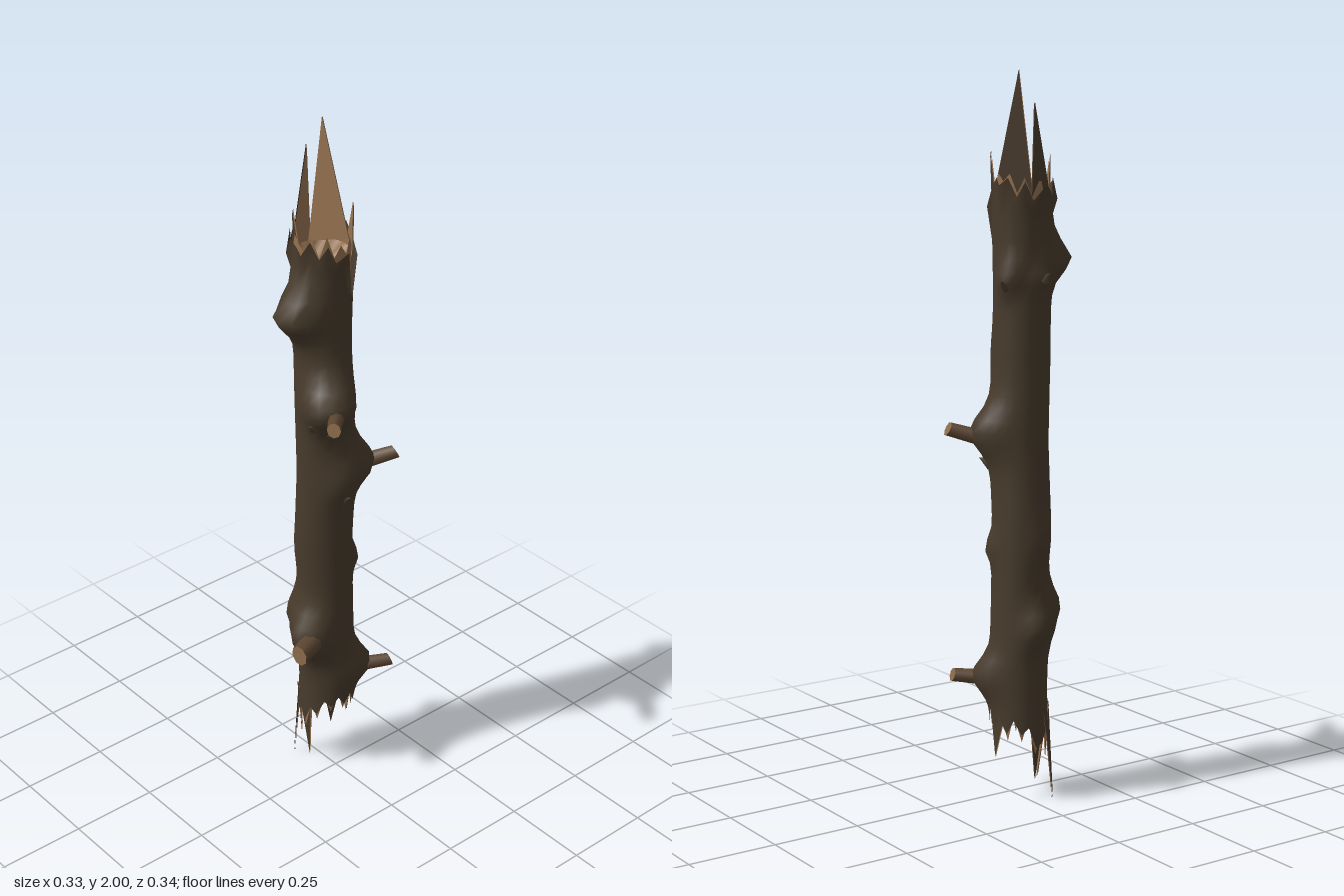
import * as THREE from 'three';

const SEG = 24;
const { lerp, degToRad } = THREE.MathUtils;

// centre line of the trunk: y, x, z, radius
const SPINE = [
  [0, -0.055, 0, 0.08], [0.3, -0.045, -0.005, 0.081], [0.6, -0.045, 0, 0.078],
  [0.8, -0.045, 0.006, 0.081], [1.0, -0.034, 0.005, 0.081], [1.2, -0.035, 0.01, 0.08],
  [1.4, -0.042, 0.01, 0.078], [1.7, -0.05, 0.004, 0.083], [2.01, -0.05, 0, 0.077],
];
// swellings: angle (0 = +x, 90 = +z), y, height, angular spread, vertical spread
const BURLS = [
  [92, 1.5, 0.07, 0.7, 0.06], [28, 1.25, 0.074, 0.75, 0.065], [-62, 1.03, 0.056, 0.8, 0.065],
  [72, 0.49, 0.062, 0.65, 0.075], [-54, 0.35, 0.05, 0.7, 0.055], [178, 0.5, 0.038, 0.45, 0.05],
  [172, 1.46, 0.025, 0.3, 0.03], [-115, 1.45, 0.025, 0.4, 0.035], [-65, 0.71, 0.02, 0.35, 0.035],
  [10, 1.0, 0.018, 0.5, 0.06], [125, 0.55, 0.03, 0.4, 0.06], [165, 0.74, 0.012, 0.5, 0.05],
];
// torn edges, one height per column round the trunk
const BARK_TOP = [1.69, 1.66, 1.71, 1.67, 1.72, 1.68, 1.69, 1.71, 1.66, 1.72, 1.67, 1.69,
  1.70, 1.66, 1.71, 1.67, 1.72, 1.70, 1.72, 1.68, 1.64, 1.55, 1.53, 1.57];
const WOOD_TOP = [1.70, 1.67, 1.73, 1.67, 1.73, 1.68, 1.70, 1.72, 1.67, 1.73, 1.67, 1.71,
  1.71, 1.67, 1.72, 1.68, 1.73, 1.71, 1.73, 1.69, 1.74, 1.68, 1.71, 1.67];
const BARK_END = [0.24, 0.27, 0.24, 0.26, 0.21, 0.23, 0.17, 0.22, 0.18, 0.15, 0.2, 0.17,
  0.16, 0.22, 0.2, 0.24, 0.2, 0.24, 0.21, 0.26, 0.22, 0.26, 0.23, 0.27];
const WOOD_END = BARK_END.map((y, k) => y + (k % 2 ? 0.015 : -0.02));

// long splinters: tip, then two base corners on the rim
const SHARDS = [
  [[-0.106, 2.0, -0.045], [-0.116, 1.66, -0.005], [-0.008, 1.69, -0.052]],
  [[-0.137, 1.92, -0.02], [-0.12, 1.66, 0.045], [-0.118, 1.66, -0.015]],
  [[-0.1, 1.78, 0.058], [-0.112, 1.64, 0.045], [-0.05, 1.66, 0.075]],
  [[-0.015, 1.79, -0.072], [-0.045, 1.66, -0.074], [0.002, 1.64, -0.055]],
  [[-0.12, 0.0, 0.058], [-0.122, 0.27, 0.025], [-0.085, 0.25, 0.068]],
  [[-0.05, 0.04, 0.055], [-0.085, 0.27, 0.068], [-0.025, 0.27, 0.07]],
  [[-0.1, 0.06, 0.012], [-0.12, 0.27, 0.03], [-0.12, 0.27, -0.02]],
  [[-0.085, 0.1, 0.055], [-0.11, 0.27, 0.05], [-0.065, 0.27, 0.072]],
  [[0.0, 0.17, 0.02], [0.005, 0.3, 0.05], [0.028, 0.3, 0.01]],
  [[-0.05, 0.13, -0.082], [-0.085, 0.28, -0.068], [-0.02, 0.28, -0.078]],
];

function trunkPoint(angle, y, offset) {
  let i = 0;
  while (i < SPINE.length - 2 && SPINE[i + 1][0] < y) i++;
  const a = SPINE[i], b = SPINE[i + 1];
  const t = (y - a[0]) / (b[0] - a[0]);
  let r = lerp(a[3], b[3], t) + offset;
  for (const [deg, by, height, wide, tall] of BURLS) {
    const d = angle - degToRad(deg);
    const turn = Math.atan2(Math.sin(d), Math.cos(d)) / wide;
    r += height * Math.exp(-turn * turn - ((y - by) / tall) ** 2);
  }
  return [lerp(a[1], b[1], t) + r * Math.cos(angle), y, lerp(a[2], b[2], t) + r * Math.sin(angle)];
}

function indexed(positions, index) {
  const geometry = new THREE.BufferGeometry();
  geometry.setAttribute('position', new THREE.Float32BufferAttribute(positions, 3));
  geometry.setIndex(index);
  geometry.computeVertexNormals();
  return geometry;
}

// open tube whose two ends are torn into teeth
function tornTube(bottom, top, offset, flare) {
  const LOW = 0.3, HIGH = 1.5, BODY = 36, END = 4;
  const rows = BODY + 2 * END;
  const positions = [], index = [];
  for (let j = 0; j <= rows; j++) {
    for (let k = 0; k < SEG; k++) {
      let y, out = offset;
      if (j < END) y = lerp(bottom[k], LOW, j / END);
      else if (j <= END + BODY) y = lerp(LOW, HIGH, (j - END) / BODY);
      else y = lerp(HIGH, top[k], (j - END - BODY) / END);
      if (j === rows) out += flare * (k % 12 === 0 ? 2.2 : (k * 7) % 3 / 2);
      positions.push(...trunkPoint((k / SEG) * Math.PI * 2, y, out));
      if (j < rows) {
        const n = (k + 1) % SEG, a = j * SEG + k, b = j * SEG + n;
        index.push(a, a + SEG, b, b, a + SEG, b + SEG);
      }
    }
  }
  return indexed(positions, index);
}

// broken heartwood filling one end, sloping to an off-centre hollow
function plug(rim, depth) {
  const positions = [], index = [];
  for (let k = 0; k < SEG; k++) {
    const angle = (k / SEG) * Math.PI * 2, n = (k + 1) % SEG;
    positions.push(...trunkPoint(angle, rim, -0.008));
    positions.push(-0.076 + 0.02 * Math.cos(angle), rim + depth * (1 + 0.3 * (k % 3)),
      0.032 + 0.02 * Math.sin(angle));
    index.push(2 * k, 2 * k + 1, 2 * n, 2 * n, 2 * k + 1, 2 * n + 1);
  }
  return indexed(positions, index);
}

// aim a y-axis geometry from one point to another
function span(geometry, material, from, to, name) {
  const a = new THREE.Vector3(...from), b = new THREE.Vector3(...to);
  const mesh = new THREE.Mesh(geometry, material);
  mesh.position.copy(a).lerp(b, 0.5);
  mesh.quaternion.setFromUnitVectors(new THREE.Vector3(0, 1, 0), b.clone().sub(a).normalize());
  mesh.name = name;
  return mesh;
}

export function createModel() {
  const group = new THREE.Group();
  group.name = 'brokenLog';
  const paint = (name, color) => {
    const material = new THREE.MeshStandardMaterial({ color, side: THREE.DoubleSide });
    material.name = name;
    return material;
  };
  const bark = paint('bark', 0x483b2c);
  const wood = paint('bareWood', 0x94714f);
  const weathered = paint('weatheredWood', 0x5c4632);
  const add = (geometry, material, name) => {
    const mesh = new THREE.Mesh(geometry, material);
    mesh.name = name;
    group.add(mesh);
    return mesh;
  };

  // trunk: bark over wood, with filled ends
  add(tornTube(BARK_END, BARK_TOP, 0, 0.012), bark, 'barkShell');
  add(tornTube(WOOD_END, WOOD_TOP, -0.006, 0), wood, 'woodCore');
  add(plug(1.66, -0.06), wood, 'topHeartwood');
  add(plug(0.27, 0.04), wood, 'bottomHeartwood');

  // splinters: wood inside, bark just outside
  for (const corners of SHARDS) {
    add(indexed(corners.flat(), [0, 1, 2]), wood, 'splinter');
    const middleX = (corners[1][0] + corners[2][0]) / 2 + 0.05;
    const middleZ = (corners[1][2] + corners[2][2]) / 2;
    const outward = new THREE.Vector3(middleX, 0, middleZ).setLength(0.003);
    add(indexed(corners.flat(), [0, 1, 2]), bark, 'splinterBark').position.copy(outward);
  }

  // snapped branch stubs with bare ends
  const stubs = [
    [[0.07, 1.235, 0.055], [0.15, 1.255, 0.133], 0.019],
    [[0.01, 1.015, -0.09], [0.06, 1.04, -0.164], 0.02],
    [[0.005, 0.49, 0.09], [0.035, 0.488, 0.163], 0.028],
    [[0.02, 0.34, -0.08], [0.064, 0.348, -0.15], 0.019],
  ];
  for (const [from, to, r] of stubs) {
    const length = new THREE.Vector3(...from).distanceTo(new THREE.Vector3(...to));
    const geometry = new THREE.CylinderGeometry(r, r * 1.15, length, 8);
    const p = geometry.attributes.position;
    // slanted break
    for (let i = 0; i < p.count; i++) {
      if (p.getY(i) > 0) p.setY(i, p.getY(i) + p.getX(i) * 0.35);
    }
    group.add(span(geometry, [weathered, wood, weathered], from, to, 'branchStub'));
  }

  // loose flakes of bark standing off the trunk
  const flakes = [[28, 1.19, 0.03], [60, 1.2, 0.02], [0, 0.96, 0.02],
    [-115, 1.45, 0.015], [172, 1.47, 0.015], [-60, 0.96, 0.02]];
  for (const [deg, y, reach] of flakes) {
    const angle = degToRad(deg);
    const from = trunkPoint(angle, y - 0.02, -0.012), to = trunkPoint(angle, y, reach * 0.6);
    const length = new THREE.Vector3(...from).distanceTo(new THREE.Vector3(...to));
    group.add(span(new THREE.ConeGeometry(0.018, length, 5), bark, from, to, 'barkFlake'));
  }
  return group;
}
